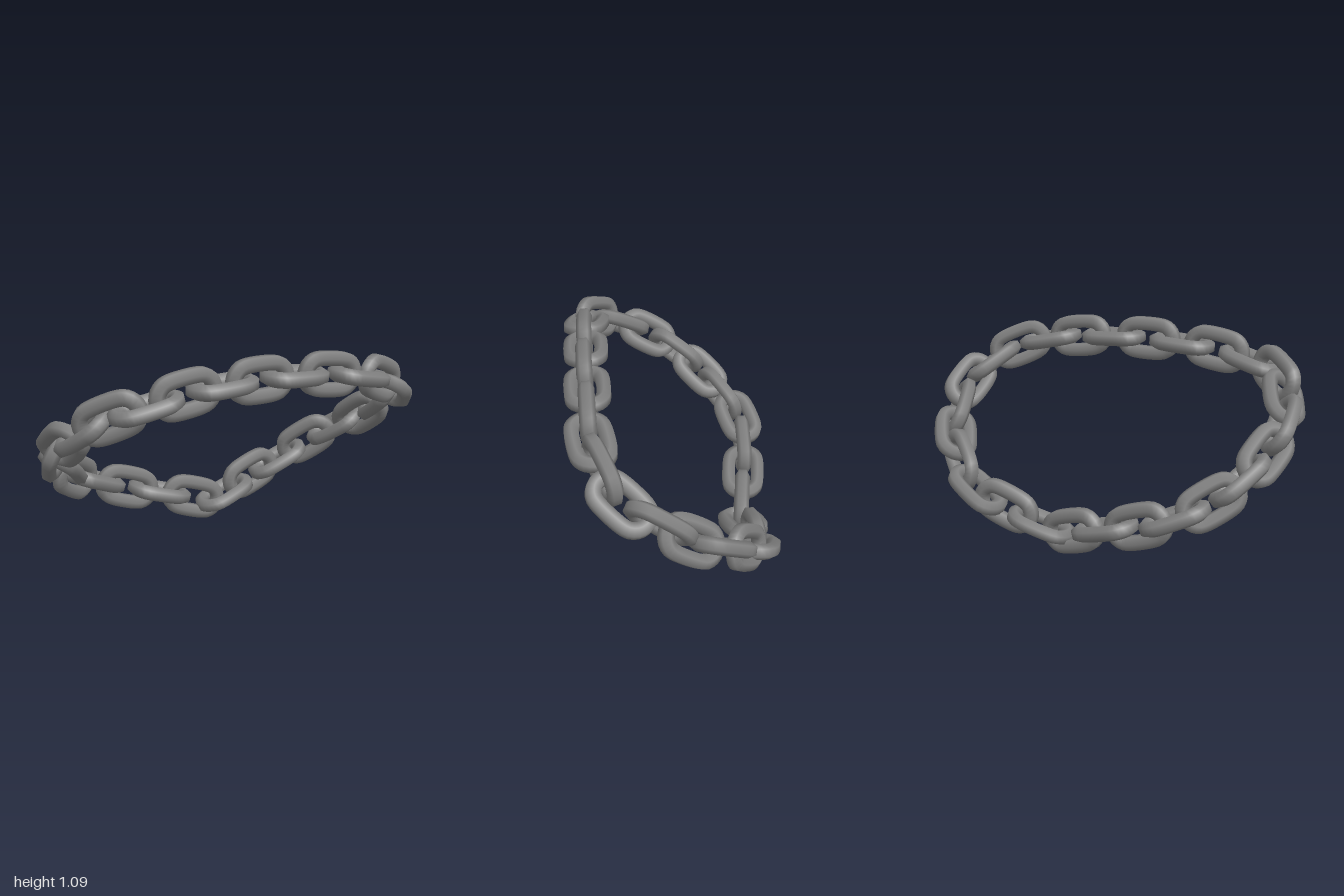
import * as THREE from 'three';

// Link centres around the loop: front row, right end, back row, left end.
// Optional last entry overrides the link's direction.
const LINKS = [
  [-0.79, 0.866, 0.36], [-0.635, 0.908, 0.42], [-0.44, 0.952, 0.433], [-0.245, 0.966, 0.43],
  [-0.045, 0.976, 0.44], [0.157, 0.97, 0.43], [0.362, 0.958, 0.433], [0.548, 0.925, 0.425],
  [0.718, 0.885, 0.378],
  [0.852, 0.79, 0.3], [0.905, 0.71, 0.13], [0.892, 0.59, -0.01], [0.828, 0.492, -0.165],
  [0.722, 0.39, -0.29], [0.575, 0.27, -0.37], [0.4, 0.21, -0.38],
  [0.212, 0.13, -0.355, [-1, -0.33, 0.16]], [0.02, 0.133, -0.375, [-1, 0.3, -0.16]],
  [-0.173, 0.185, -0.408], [-0.36, 0.238, -0.428], [-0.545, 0.308, -0.425], [-0.695, 0.38, -0.335],
  [-0.8, 0.475, -0.23], [-0.882, 0.575, -0.095], [-0.91, 0.685, 0.07], [-0.87, 0.78, 0.23],
];

// One oval link: a six-sided bar swept around a stadium in the XY plane
function linkGeometry() {
  const radius = 0.077, straight = 0.07, pts = [];
  for (const side of [1, -1]) {
    for (let i = 0; i <= 6; i++) {
      const a = -Math.PI / 2 + (i / 6) * Math.PI;
      pts.push(new THREE.Vector3(side * (straight + radius * Math.cos(a)), side * radius * Math.sin(a), 0));
    }
  }
  const path = new THREE.CatmullRomCurve3(pts, true, 'centripetal');
  return new THREE.TubeGeometry(path, 40, 0.04, 6, true);
}

export function createModel() {
  const group = new THREE.Group();
  group.name = 'chainLoop';
  const geometry = linkGeometry();
  const material = new THREE.MeshStandardMaterial({ color: 0x808080 });
  const loopNormal = new THREE.Vector3(0, 0.72, -0.69).normalize();
  const centres = LINKS.map(([x, y, z]) => new THREE.Vector3(x, y, z));
  const n = centres.length;

  centres.forEach((centre, i) => {
    const override = LINKS[i][3];
    const along = override
      ? new THREE.Vector3(...override)
      : centres[(i + 1) % n].clone().sub(centres[(i + n - 1) % n]);
    along.normalize();

    // Neighbouring links lean 45 degrees to either side of the loop plane's normal
    const up = loopNormal.clone().addScaledVector(along, -along.dot(loopNormal)).normalize();
    const outward = along.clone().cross(up);
    const across = up.addScaledVector(outward, i % 2 ? -1 : 1).normalize();
    const facing = along.clone().cross(across);

    const link = new THREE.Mesh(geometry, material);
    link.name = `link${i + 1}`;
    link.position.copy(centre);
    link.quaternion.setFromRotationMatrix(new THREE.Matrix4().makeBasis(along, across, facing));
    group.add(link);
  });
  return group;
}
